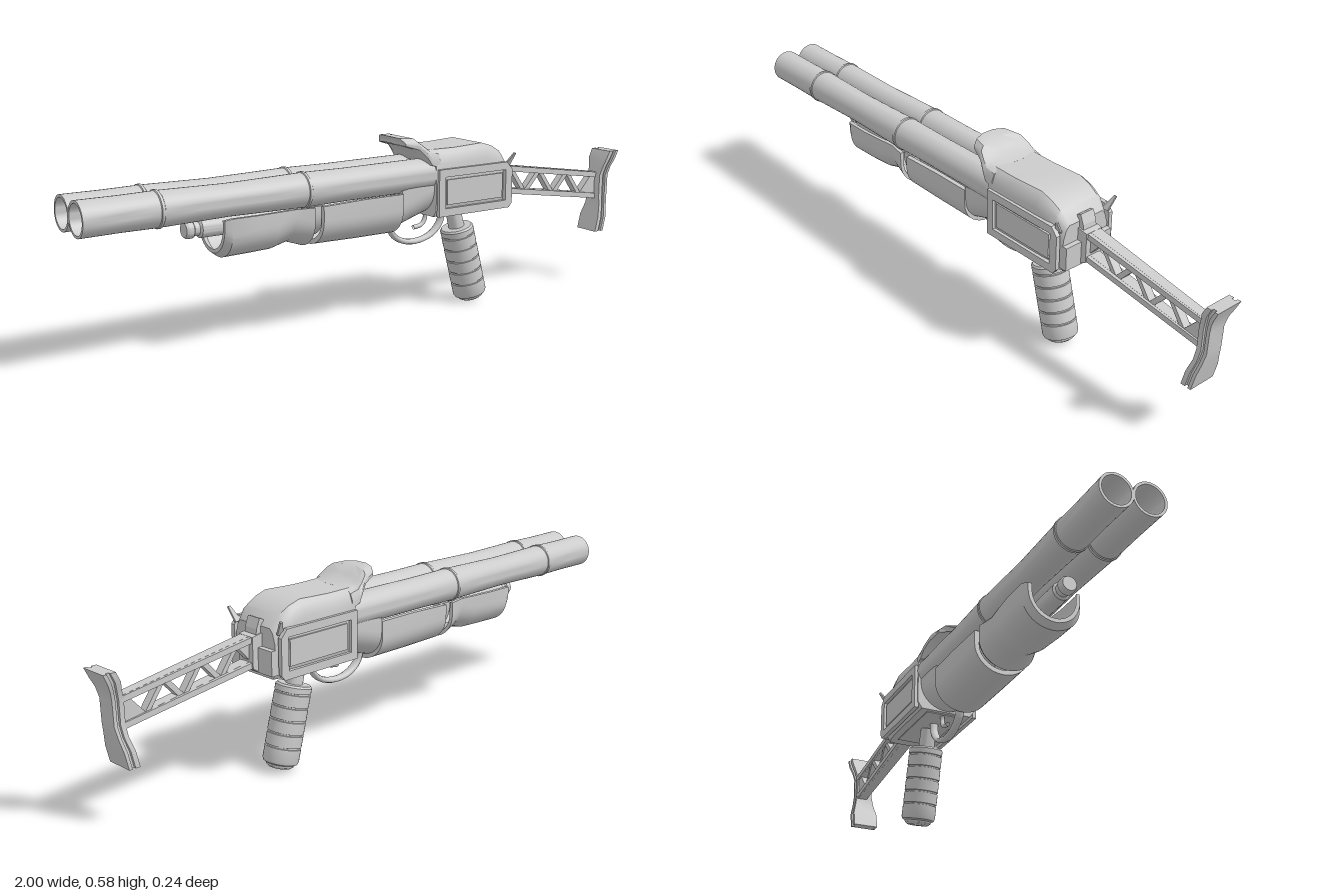
import * as THREE from 'three';
import { toCreasedNormals } from 'three/addons/utils/BufferGeometryUtils.js';

const material = new THREE.MeshStandardMaterial({ color: 0xcccccc, side: THREE.DoubleSide });

function add(parent, name, geometry, x = 0, y = 0, z = 0, rz = 0) {
  const mesh = new THREE.Mesh(geometry, material);
  mesh.name = name;
  mesh.position.set(x, y, z);
  mesh.rotation.z = rz;
  parent.add(mesh);
  return mesh;
}

// Skins equal-length loops of [x, y, z]; end caps join point i to point n-1-i
function loft(sections, crease = 0.6) {
  const n = sections[0].length, last = sections.length - 1;
  const pos = [], tri = (a, b, c) => pos.push(...a, ...b, ...c);
  for (let s = 0; s < last; s++) {
    const A = sections[s], B = sections[s + 1];
    for (let i = 0; i < n; i++) {
      const j = (i + 1) % n;
      tri(A[i], A[j], B[i]);
      tri(A[j], B[j], B[i]);
    }
  }
  for (let i = 0; i < n / 2 - 1; i++) {
    const j = n - 1 - i, E = sections[last], S = sections[0];
    tri(E[i], E[i + 1], E[j]);
    tri(E[i + 1], E[j - 1], E[j]);
    tri(S[i], S[j], S[i + 1]);
    tri(S[i + 1], S[j], S[j - 1]);
  }
  const g = new THREE.BufferGeometry();
  g.setAttribute('position', new THREE.Float32BufferAttribute(pos, 3));
  return toCreasedNormals(g, crease);
}

// Completes a half outline of [z, y] across z = 0 at station x
const mirrored = (x, half) => [
  ...half.map(([z, y]) => [x, y, z]),
  ...half.slice().reverse().map(([z, y]) => [x, y, -z]),
];

function lathe(points, sides = 32) {
  const g = new THREE.LatheGeometry(points.map(p => new THREE.Vector2(p[0], p[1])), sides);
  return toCreasedNormals(g, 0.5);
}

const poly = pts => pts.map(p => new THREE.Vector2(p[0], p[1]));

function extrude(outline, holes, depth) {
  const shape = new THREE.Shape(poly(outline));
  holes.forEach(h => shape.holes.push(new THREE.Path(poly(h))));
  return new THREE.ExtrudeGeometry(shape, { depth, bevelEnabled: false }).translate(0, 0, -depth / 2);
}

function tube(points, radius, zScale) {
  const curve = new THREE.CatmullRomCurve3(points.map(p => new THREE.Vector3(p[0], p[1], 0)));
  return new THREE.TubeGeometry(curve, 32, radius, 10).scale(1, 1, zScale);
}

// U-shaped shell of the fore-end; each station is [x, bottom, halfWidth, top]
function channel(stations, wall = 0.012) {
  return loft(stations.map(([x, bottom, hw, top]) => {
    const arc = t => {
      const pts = [[hw - t, top]], mid = bottom + 0.085;
      for (let i = 0; i <= 18; i++) {
        const a = Math.PI * i / 18;
        pts.push([(hw - t) * Math.cos(a), mid - (0.085 - t) * Math.sin(a)]);
      }
      pts.push([-(hw - t), top]);
      return pts;
    };
    return [...arc(0), ...arc(wall).reverse()].map(([z, y]) => [x, y, z]);
  }));
}

function createModel() {
  const model = new THREE.Group();
  model.name = 'doubleBarrelGun';

  // Twin hollow barrels with joint rings
  const barrelProfile = [[0, -0.7], [0.042, -0.7], [0.044, -1], [0.052, -1], [0.051, -0.88],
    [0.052, -0.775], [0.055, -0.773], [0.055, -0.765], [0.052, -0.763], [0.05, -0.66],
    [0.048, -0.55], [0.05, -0.42], [0.052, -0.305], [0.055, -0.303], [0.055, -0.295],
    [0.052, -0.293], [0.05, -0.15], [0.051, 0.2]];
  for (const side of [1, -1]) {
    add(model, side > 0 ? 'leftBarrel' : 'rightBarrel', lathe(barrelProfile), 0, 0.456, side * 0.05, -Math.PI / 2 + 0.005);
  }

  // Magazine tube with a stepped nose
  add(model, 'magazineTube', lathe([[0, -0.663], [0.022, -0.663], [0.026, -0.655], [0.026, -0.64],
    [0.021, -0.636], [0.021, -0.62], [0.028, -0.615], [0.028, 0.16]], 20), 0, 0.37, 0, -Math.PI / 2);

  // Fore-end in two channels, an inner band and a rear taper
  const foreEnd = new THREE.Group();
  foreEnd.name = 'foreEnd';
  model.add(foreEnd);
  add(foreEnd, 'frontHandguard', channel([[-0.575, 0.293, 0.082, 0.4], [-0.555, 0.278, 0.092, 0.405],
    [-0.47, 0.28, 0.092, 0.405], [-0.4, 0.282, 0.086, 0.405], [-0.34, 0.297, 0.08, 0.405],
    [-0.3, 0.284, 0.088, 0.405], [-0.28, 0.277, 0.092, 0.405]]));
  add(foreEnd, 'handguardBand', channel([[-0.285, 0.305, 0.075, 0.405], [-0.24, 0.305, 0.075, 0.405]], 0.03));
  add(foreEnd, 'rearHandguard', channel([[-0.25, 0.277, 0.092, 0.405], [-0.1, 0.275, 0.092, 0.41], [0.04, 0.275, 0.092, 0.41]], 0.015));
  add(foreEnd, 'handguardTaper', channel([[0.038, 0.288, 0.088, 0.42], [0.1, 0.308, 0.09, 0.43], [0.17, 0.33, 0.09, 0.43]], 0.06));

  // Receiver body
  const body = [[0.16, 0.1, 0.536], [0.25, 0.1, 0.535], [0.36, 0.1, 0.54], [0.4, 0.099, 0.528],
    [0.435, 0.096, 0.508], [0.465, 0.086, 0.472]];
  add(model, 'receiver', loft(body.map(([x, w, t]) => mirrored(x,
    [[0.74 * w, t], [0.88 * w, t - 0.012], [w, t - 0.045], [w, 0.345], [0.85 * w, 0.323]]))));
  add(model, 'receiverRearBlock', new THREE.BoxGeometry(0.05, 0.075, 0.176), 0.456, 0.375);
  add(model, 'receiverFloor', new THREE.BoxGeometry(0.25, 0.016, 0.12), 0.3, 0.328);

  // Flared hood, its front edge bowed forward at the middle
  const hood = [[0.038, 0.072, 0.58, 0.554, 4.5], [0.08, 0.086, 0.578, 0.54, 3.5],
    [0.11, 0.096, 0.558, 0.515, 2], [0.135, 0.1, 0.543, 0.49, 1], [0.175, 0.1, 0.536, 0.48, 0]];
  add(model, 'hood', loft(hood.map(([x, w, t, b, bow]) => mirrored(x,
    [[0.02, t], [0.75 * w, t - 0.003], [0.92 * w, t - 0.013], [w, (t + b) / 2 - 0.006], [w, b], [0.8 * w, b], [0.02, b + 0.008]])
    .map(([px, y, z]) => [px + bow * z * z, y, z]))));

  // Framed side panels and rear sight wings
  const rect = (x0, y0, x1, y1) => [[x0, y0], [x1, y0], [x1, y1], [x0, y1]];
  for (const side of [1, -1]) {
    const name = side > 0 ? 'left' : 'right';
    add(model, name + 'PanelFrame', extrude([[0.165, 0.325], [0.45, 0.325], [0.462, 0.34], [0.462, 0.45], [0.44, 0.475], [0.165, 0.475]],
      [rect(0.19, 0.35, 0.435, 0.45)], 0.014), 0, 0, side * 0.103);
    add(model, name + 'PanelInset', extrude(rect(0.2, 0.36, 0.425, 0.44), [], 0.008), 0, 0, side * 0.101);
    const wing = add(model, name + 'RearWing', extrude([[-0.015, -0.025], [0.008, -0.025], [0.016, 0.025], [0.008, 0.025]], [], 0.006), 0.454, 0.48, side * 0.103);
    wing.rotation.x = side * 0.5;
  }

  // Rear catch above the stock
  add(model, 'rearCatch', extrude([[0.43, 0.43], [0.485, 0.43], [0.48, 0.465], [0.468, 0.495], [0.455, 0.49], [0.44, 0.46]], [], 0.05));

  // Trigger and guard
  add(model, 'triggerGuard', tube([[0.045, 0.31], [0.062, 0.265], [0.105, 0.237], [0.165, 0.232],
    [0.22, 0.25], [0.252, 0.285], [0.26, 0.33]], 0.009, 1.6));
  add(model, 'trigger', tube([[0.185, 0.335], [0.192, 0.305], [0.178, 0.283], [0.145, 0.276]], 0.007, 1.1));

  // Ribbed pistol grip on a thin neck
  const grip = [[0, -0.002], [0.034, 0], [0.042, 0.006], [0.044, 0.012], [0.052, 0.016], [0.055, 0.024]];
  for (let i = 0; i < 5; i++) {
    const y = 0.066 + i * 0.041;
    grip.push([0.055, y - 0.003], [0.051, y - 0.002], [0.051, y + 0.002], [0.055, y + 0.003]);
  }
  grip.push([0.055, 0.25], [0.05, 0.256], [0.026, 0.256], [0.025, 0.32], [0, 0.32]);
  add(model, 'grip', lathe(grip), 0.386, 0.011, 0, 0.257);

  // Truss stock: web with triangular holes between two rails
  const stock = new THREE.Group();
  stock.name = 'stock';
  model.add(stock);
  const slope = -0.153;
  const at = (x, v) => [x, 0.356 + 0.094 * v + slope * (x - 0.47)];
  const holes = [];
  for (let i = 0; i < 6; i++) {
    const x = 0.495 + i * 0.064, up = i % 2 ? 0.8 : 0.2, tip = 1 - up;
    holes.push([at(x, up), at(x + 0.09, up), at(x + 0.045, tip)]);
  }
  add(stock, 'trussWeb', extrude([at(0.46, 0), at(0.935, 0), at(0.935, 1), at(0.46, 1)], holes, 0.026));
  for (const v of [0.1, 0.9]) {
    const rail = [[0.46, 0.026], [0.935, 0.018]].map(([x, w]) => {
      const y = at(x, v)[1];
      return mirrored(x, [[w, y + 0.009], [w, y - 0.009]]);
    });
    add(stock, v < 0.5 ? 'lowerRail' : 'upperRail', loft(rail));
  }
  add(stock, 'stockMount', extrude([[0.45, 0.33], [0.48, 0.34], [0.5, 0.352], [0.5, 0.446], [0.45, 0.455]], [], 0.06));

  // Waisted butt plate and pad; stations are [y, front x, back x, half width]
  const butt = [[0.175, 0.906, 0.936, 0.044], [0.225, 0.918, 0.948, 0.044], [0.265, 0.93, 0.957, 0.034],
    [0.3, 0.934, 0.964, 0.028], [0.37, 0.935, 0.966, 0.028], [0.4, 0.943, 0.973, 0.034],
    [0.425, 0.95, 0.984, 0.042], [0.455, 0.965, 0.998, 0.044]];
  const slab = (f0, f1, grow) => loft(butt.map(([y, a, b, w]) => {
    const x0 = a + (b - a) * f0, x1 = a + (b - a) * f1, z = w + grow;
    return [[x1, y, z], [x1, y, -z], [x0, y, -z], [x0, y, z]];
  }), 0.5);
  add(stock, 'buttPlate', slab(-0.2, 0.3, 0), 0, 0, 0.01);
  add(stock, 'buttCore', slab(0.25, 0.7, -0.008), 0, 0, 0.01);
  add(stock, 'buttPad', slab(0.65, 1, 0.001), 0, 0, 0.01);

  return model;
}

export { createModel };
